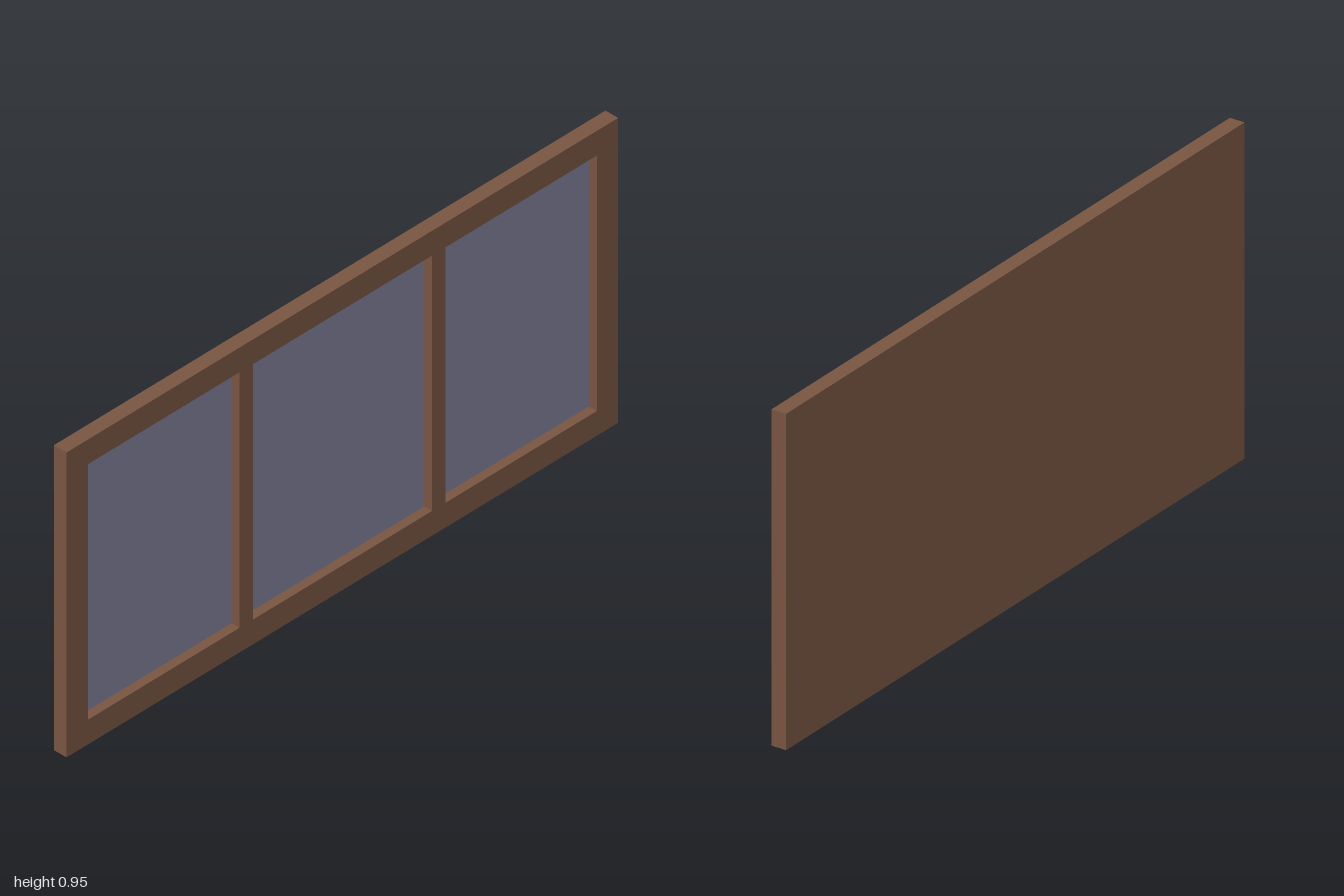
import * as THREE from 'three';

const WIDTH = 2, HEIGHT = 0.95, DEPTH = 0.045;
const RECESS = 0.03;          // how far the panes sit behind the frame face
const SILL = 0.077;           // top and bottom rail height
const OPENINGS = [            // name, left edge, right edge
  ['rightPane', -0.923, -0.373],
  ['centrePane', -0.325, 0.325],
  ['leftPane', 0.373, 0.923],
];

function rectangle(Type, x0, y0, x1, y1) {
  return new Type([
    new THREE.Vector2(x0, y0), new THREE.Vector2(x1, y0),
    new THREE.Vector2(x1, y1), new THREE.Vector2(x0, y1),
  ]);
}

export function createModel() {
  const wood = new THREE.MeshStandardMaterial({ color: 0x795542 });
  wood.name = 'brown wood';
  const glass = new THREE.MeshStandardMaterial({ color: 0x80809a });
  glass.name = 'blue grey glass';

  const model = new THREE.Group();
  model.name = 'threePaneWindow';
  const add = (name, geometry, material, x, y, z) => {
    const mesh = new THREE.Mesh(geometry, material);
    mesh.name = name;
    mesh.position.set(x, y, z);
    model.add(mesh);
  };

  // Frame with mullions, cut by three openings
  const outline = rectangle(THREE.Shape, -WIDTH / 2, 0, WIDTH / 2, HEIGHT);
  for (const [, x0, x1] of OPENINGS) {
    outline.holes.push(rectangle(THREE.Path, x0, SILL, x1, HEIGHT - SILL));
  }
  const frame = new THREE.ExtrudeGeometry(outline, { depth: RECESS, bevelEnabled: false });
  add('frame', frame, wood, 0, 0, DEPTH / 2 - RECESS);

  // Solid board closing the back
  const backDepth = DEPTH - RECESS;
  const back = new THREE.BoxGeometry(WIDTH, HEIGHT, backDepth);
  add('backBoard', back, wood, 0, HEIGHT / 2, -DEPTH / 2 + backDepth / 2);

  // Thin panes lying on the back board
  for (const [name, x0, x1] of OPENINGS) {
    const pane = new THREE.BoxGeometry(x1 - x0, HEIGHT - 2 * SILL, 0.002);
    add(name, pane, glass, (x0 + x1) / 2, HEIGHT / 2, DEPTH / 2 - RECESS + 0.001);
  }
  return model;
}
